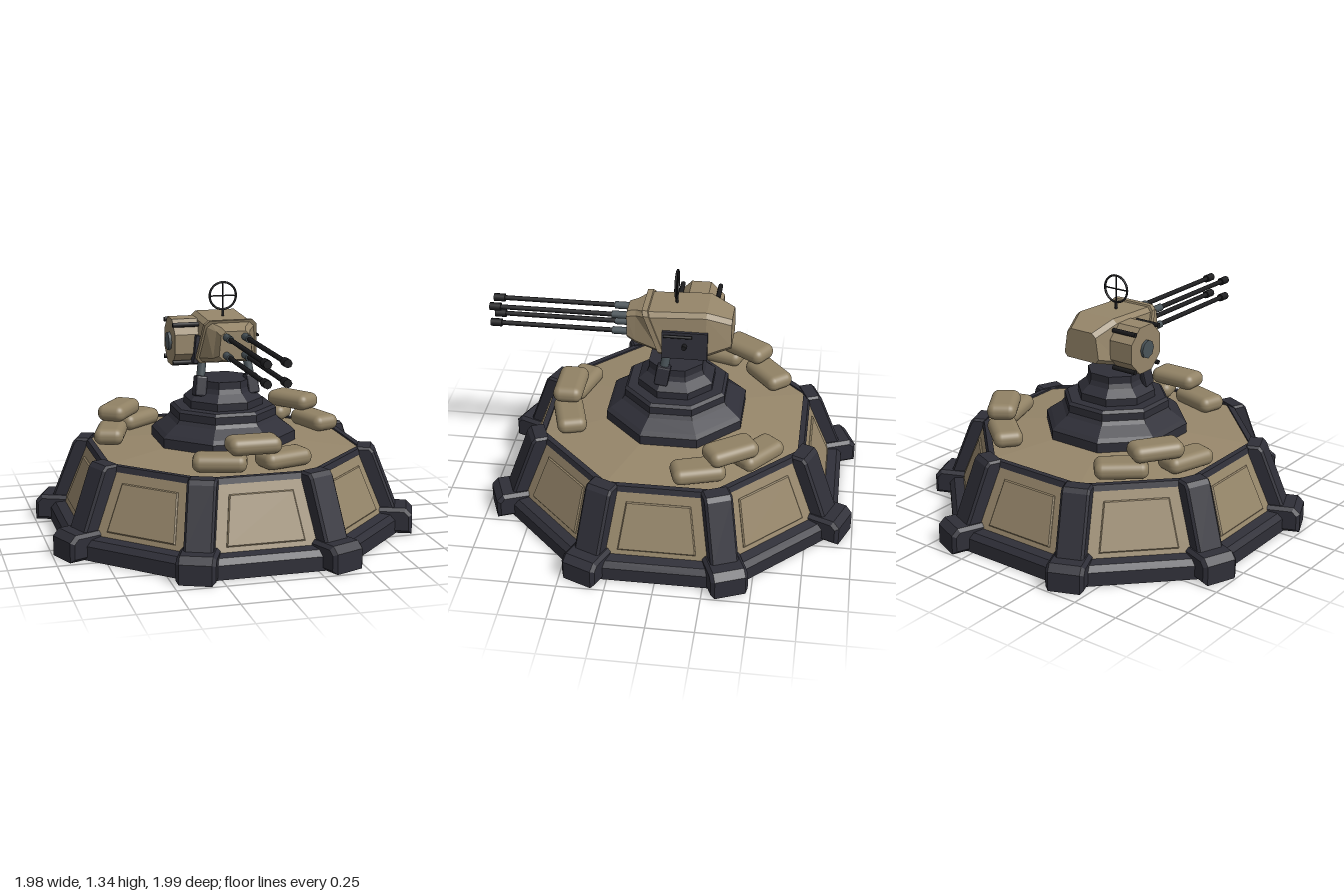
import * as THREE from 'three';
import { RoundedBoxGeometry } from 'three/addons/geometries/RoundedBoxGeometry.js';

const material = (name, color, extra = {}) => {
  const m = new THREE.MeshStandardMaterial({ color, ...extra });
  m.name = name;
  return m;
};

export function createModel() {
  const root = new THREE.Group();
  root.name = 'turretEmplacement';
  const tan = material('tanArmour', 0x96866a, { flatShading: true });
  const dark = material('darkFrame', 0x2f2f38, { flatShading: true });
  const cloth = material('sandbagCloth', 0x918265);
  const steel = material('steel', 0x4a5459);
  const black = material('blackMetal', 0x1b1b1d);

  const add = (name, geo, mat, parent = root) => {
    const m = new THREE.Mesh(geo, mat);
    m.name = name;
    parent.add(m);
    return m;
  };
  const group = (name, parent = root) => {
    const g = new THREE.Group();
    g.name = name;
    parent.add(g);
    return g;
  };
  // Octagonal solid from [apothem, y] pairs, flats facing the axes
  const octagon = (pts) => new THREE.LatheGeometry(
    pts.map(([a, y]) => new THREE.Vector2(a / Math.cos(Math.PI / 8), y)), 8, Math.PI / 8).toNonIndexed();
  // Bevelled extrusion centred on z
  const prism = (pts, width, bevel) => {
    const shape = new THREE.Shape(pts.map(([x, y]) => new THREE.Vector2(x, y)));
    return new THREE.ExtrudeGeometry(shape, {
      depth: width - 2 * bevel, bevelEnabled: bevel > 0, bevelThickness: bevel,
      bevelSize: bevel, bevelOffset: -bevel, bevelSegments: 1,
    }).translate(0, 0, bevel - width / 2);
  };
  // Cylinder between two points
  const rod = (name, a, b, r, mat, parent, sides = 12) => {
    const p = new THREE.Vector3(...a), q = new THREE.Vector3(...b);
    const m = add(name, new THREE.CylinderGeometry(r, r, p.distanceTo(q), sides), mat, parent);
    m.position.copy(p).add(q).multiplyScalar(0.5);
    m.quaternion.setFromUnitVectors(new THREE.Vector3(0, 1, 0), q.sub(p).normalize());
    return m;
  };
  // Loft of chamfered trapezoids: [z, shear, bottom, top, half width bottom, half width top]
  const loft = (sections) => {
    const rings = sections.map(([z, sh, y0, y1, wb, wt]) => {
      const c = 0.022, h = y1 - y0, w = (t) => wb + (wt - wb) * t;
      const half = [[wb - c, y0], [w(c / h), y0 + c], [w(1 - c / h), y1 - c], [wt - c, y1]];
      const all = [...half, ...half.map(([x, y]) => [-x, y]).reverse()];
      return all.map(([x, y]) => [x, y, z + sh * (y - 1.03)]);
    });
    const pos = [];
    const tri = (...p) => p.forEach((v) => pos.push(...v));
    for (let i = 0; i + 1 < rings.length; i++) {
      for (let k = 0; k < 8; k++) {
        const n = (k + 1) % 8, [A, B] = [rings[i], rings[i + 1]];
        tri(A[k], A[n], B[n]);
        tri(A[k], B[n], B[k]);
      }
    }
    const back = rings[0], front = rings[rings.length - 1];
    for (let k = 1; k < 7; k++) {
      tri(front[0], front[k], front[k + 1]);
      tri(back[0], back[k + 1], back[k]);
    }
    const g = new THREE.BufferGeometry();
    g.setAttribute('position', new THREE.Float32BufferAttribute(pos, 3));
    g.computeVertexNormals();
    return g;
  };

  // Octagonal bunker base
  const base = group('base');
  add('sill', octagon([[0.915, 0], [0.915, 0.075], [0.89, 0.105], [0.83, 0.115]]), dark, base);
  add('slopedWalls', octagon([[0.842, 0.105], [0.71, 0.45]]), tan, base);
  add('rim', octagon([[0.722, 0.43], [0.712, 0.46], [0.682, 0.46], [0.682, 0.44]]), dark, base);
  add('floor', octagon([[0.69, 0.45], [0.3, 0.49]]), tan, base);
  add('underside', octagon([[0.0001, 0], [0.915, 0]]), black, base);

  const panelGeo = prism([[-0.205, 0.035], [0.205, 0.035], [0.168, 0.295], [-0.168, 0.295]], 0.018, 0.006);
  const postGeo = prism([[0.735, 0.08], [0.955, 0.08], [0.945, 0.14], [0.825, 0.445], [0.805, 0.467], [0.735, 0.467]], 0.15, 0.012);
  const footGeo = prism([[0.82, 0], [1.04, 0], [1.04, 0.105], [1.005, 0.14], [0.82, 0.14]], 0.2, 0.018);
  for (let k = 0; k < 8; k++) {
    const side = group('wallSide', base);
    side.rotation.y = k * Math.PI / 4;
    const panel = add('wallPanel', panelGeo, tan, side);
    panel.position.set(0, 0.105, 0.842);
    panel.rotation.x = -Math.atan2(0.132, 0.345);
    const corner = group('cornerButtress', base);
    corner.rotation.y = (k + 0.5) * Math.PI / 4;
    add('post', postGeo, dark, corner);
    add('foot', footGeo, dark, corner);
  }

  // Stepped pedestal
  add('pedestal', octagon([[0.365, 0.47], [0.365, 0.535], [0.345, 0.555], [0.285, 0.6], [0.27, 0.62], [0.27, 0.66],
    [0.255, 0.675], [0.2, 0.675], [0.2, 0.715], [0.155, 0.755], [0.145, 0.78], [0.145, 0.82], [0.0001, 0.82]]), dark);

  // Three sandbag stacks
  const bagGeo = new RoundedBoxGeometry(0.28, 0.09, 0.16, 4, 0.042);
  [[0, 0.59], [124, 0.615], [-124, 0.615]].forEach(([deg, r]) => {
    const stack = group('sandbagStack');
    stack.rotation.y = deg * Math.PI / 180;
    [[-0.29, 0.505], [0.29, 0.505], [0, 0.592]].forEach(([a, y]) => {
      const bag = add('sandbag', bagGeo, cloth, stack);
      bag.position.set(r * Math.sin(a), y, r * Math.cos(a));
      bag.rotation.y = a;
    });
  });

  // Gun mount legs
  const gun = group('gunTurret');
  for (const s of [-1, 1]) {
    rod('supportLeg', [s * 0.148, 0.76, 0.065], [s * 0.12, 0.96, 0.03], 0.024, steel, gun);
    const socket = add('legSocket', new RoundedBoxGeometry(0.065, 0.11, 0.075, 1, 0.01), dark, gun);
    socket.position.set(s * 0.143, 0.79, 0.06);
    socket.rotation.set(-0.17, 0, s * 0.13);
  }

  // Armoured housing with slanted collar
  add('housing', loft([
    [-0.3, 0, 0.95, 1.11, 0.115, 0.09], [-0.17, 0, 0.915, 1.162, 0.16, 0.13],
    [0.11, 0.4, 0.925, 1.148, 0.16, 0.13], [0.21, 0, 0.945, 1.13, 0.112, 0.088],
    [0.26, 0, 0.965, 1.115, 0.092, 0.076]]), tan, gun);
  add('collar', loft([
    [0.09, 0.4, 0.918, 1.158, 0.17, 0.14], [0.12, 0.4, 0.918, 1.158, 0.168, 0.138]]), tan, gun);

  // Four barrels
  for (const x of [-0.05, 0.05]) {
    for (const y of [0.988, 1.085]) {
      rod('barrelSleeve', [x, y, 0.24], [x, y, 0.34], 0.02, steel, gun);
      rod('barrel', [x, y, 0.33], [x, y, 0.96], 0.013, black, gun);
      rod('muzzle', [x, y, 0.94], [x, y, 1.0], 0.022, black, gun, 8);
    }
  }

  // Side plates
  for (const s of [-1, 1]) {
    const plate = add('sidePlate', new THREE.BoxGeometry(0.022, 0.15, 0.24), dark, gun);
    plate.position.set(s * 0.158, 0.988, -0.06);
    plate.rotation.z = s * 0.1;
  }
  rod('plateKnob', [0.16, 0.99, -0.06], [0.195, 0.99, -0.06], 0.013, black, gun);
  rod('sideHandle', [0.182, 1.05, -0.1], [0.182, 1.05, 0.05], 0.008, black, gun, 8);

  // Ammunition drum on the right side
  const drum = group('ammoDrum', gun);
  drum.position.set(0, 1.013, -0.1);
  const drumBody = add('drumBody', new THREE.CylinderGeometry(0.137, 0.137, 0.14, 8).rotateY(Math.PI / 8), tan, drum);
  drumBody.rotation.z = Math.PI / 2;
  drumBody.position.x = -0.2;
  rod('drumHub', [-0.26, 0, 0], [-0.285, 0, 0], 0.05, steel, drum, 8);
  for (let k = 0; k < 4; k++) {
    const a = (k + 0.5) * Math.PI / 2, y = 0.134 * Math.sin(a), z = 0.134 * Math.cos(a);
    const strap = rod('drumRod', [-0.135, y * 1.08, z * 1.08], [-0.278, y * 1.08, z * 1.08], 0.013, black, drum, 8);
    strap.scale.set(1, 1, 1);
  }

  // Ring sight
  const sight = group('ringSight', gun);
  sight.position.set(0, 1.264, 0);
  add('sightRing', new THREE.TorusGeometry(0.073, 0.006, 8, 32), black, sight);
  rod('sightVertical', [0, -0.12, 0], [0, 0.073, 0], 0.004, black, sight, 8);
  rod('sightHorizontal', [-0.073, 0, 0], [0.073, 0, 0], 0.004, black, sight, 8);
  rod('sightBase', [0, -0.12, 0], [0, -0.07, 0], 0.008, black, sight, 8);

  // Lathe profiles stay visible from both sides where open
  tan.side = dark.side = black.side = THREE.DoubleSide;
  return root;
}
